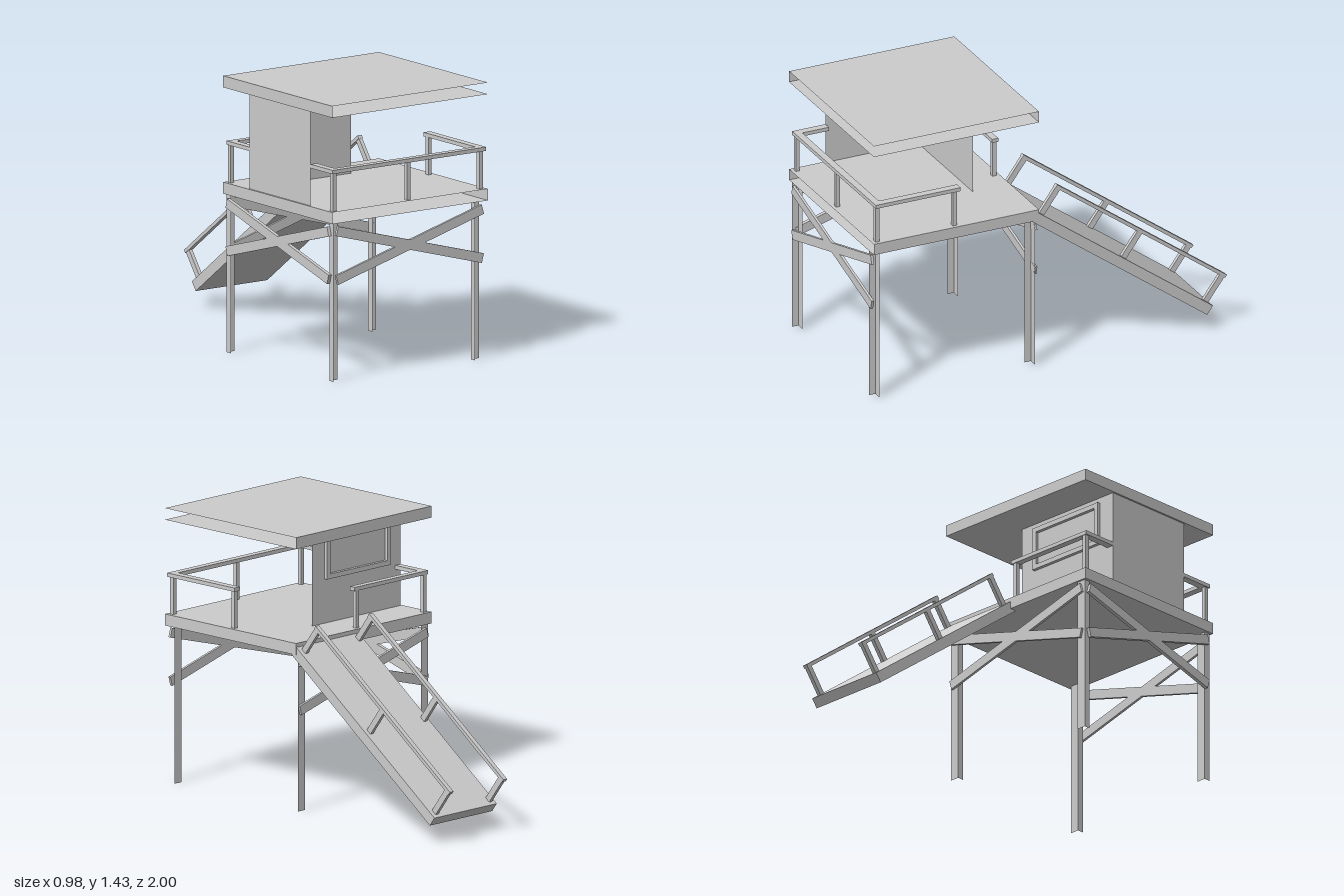
import * as THREE from 'three';

const SIDES = ['+x', '-x', '+y', '-y', '+z', '-z'];

export function createModel() {
  const model = new THREE.Group();
  model.name = 'lookoutTower';
  const grey = new THREE.MeshStandardMaterial({ color: 0xcccccc, side: THREE.DoubleSide });
  grey.name = 'paleGrey';

  // Box between two corners; the sides listed in open are left out
  function box(name, min, max, open = [], parent = model) {
    const size = max.map((v, i) => v - min[i]);
    const geo = new THREE.BoxGeometry(...size);
    const all = Array.from(geo.index.array);
    const kept = [];
    SIDES.forEach((s, i) => {
      if (!open.includes(s)) kept.push(...all.slice(i * 6, i * 6 + 6));
    });
    geo.setIndex(kept);
    geo.clearGroups();
    const mesh = new THREE.Mesh(geo, grey);
    mesh.name = name;
    mesh.position.set(...max.map((v, i) => (v + min[i]) / 2));
    parent.add(mesh);
    return mesh;
  }

  // Roof, deck and the two cabin walls
  box('roof', [-0.49, 1.37, 0.07], [0.49, 1.43, 1], ['+x', '+z']);
  box('deck', [-0.49, 0.82, 0.07], [0.49, 0.88, 1], ['+z']);
  box('cabinWalls', [-0.48, 0.88, 0.28], [0.16, 1.4, 0.8], ['+x', '+z', '+y', '-y']);

  // Window frame on the back wall
  const win = new THREE.Group();
  win.name = 'windowFrame';
  model.add(win);
  for (const y of [1.11, 1.315]) box('frameRail', [-0.39, y, 0.262], [0.07, y + 0.025, 0.28], [], win);
  for (const x of [-0.39, 0.045]) box('frameStile', [x, 1.135, 0.262], [x + 0.025, 1.315, 0.28], [], win);

  // Legs, open towards the front and left
  for (const x of [-0.475, 0.415]) {
    for (const z of [0.08, 0.955]) {
      box('leg', [x, 0, z], [x + 0.05, 0.82, z + 0.035], ['+x', '+z', '-y', '+y']);
    }
  }

  // Crossed braces on the front, back and right sides
  for (const s of [-1, 1]) {
    for (const z of [0.074, 0.993]) {
      const b = box('crossBrace', [-0.475, -0.025, -0.007], [0.475, 0.025, 0.007]);
      b.position.set(0, 0.652, z);
      b.rotation.z = s * 0.27;
    }
    const b = box('sideBrace', [-0.01, -0.025, -0.45], [0.01, 0.025, 0.45]);
    b.position.set(-0.483, 0.652, 0.533);
    b.rotation.x = s * 0.28;
  }

  // Deck railing: thin posts under flat top rails
  const railing = new THREE.Group();
  railing.name = 'deckRailing';
  model.add(railing);
  const posts = [[-0.462, 0.97], [0.004, 0.97], [0.46, 0.97], [0.46, 0.535], [-0.462, 0.1], [0.025, 0.1]];
  for (const [x, z] of posts) {
    box('railPost', [x - 0.011, 0.88, z - 0.011], [x + 0.011, 1.075, z + 0.011], [], railing);
  }
  const rails = [
    [-0.48, 0.95, 0.487, 0.988], [0.445, 0.51, 0.487, 0.95], [-0.48, 0.8, -0.44, 0.95],
    [-0.48, 0.085, 0.05, 0.12], [-0.48, 0.12, -0.44, 0.29],
  ];
  for (const [x0, z0, x1, z1] of rails) {
    box('topRail', [x0, 1.075, z0], [x1, 1.095, z1], [], railing);
  }

  // Sloping ramp at the back, with a handrail on each side
  const ramp = new THREE.Group();
  ramp.name = 'ramp';
  ramp.position.set(0, 0.815, 0.103);
  ramp.rotation.x = -0.637;
  model.add(ramp);
  box('rampBoard', [0.037, 0, -1.22], [0.487, 0.055, 0], [], ramp);
  for (const x of [0.053, 0.44]) {
    box('handrail', [x, 0.207, -1.205], [x + 0.026, 0.225, -0.018], [], ramp);
    for (const d of [0.035, 0.61, 1.185]) {
      box('handrailPost', [x + 0.003, 0.045, -d - 0.016], [x + 0.023, 0.207, -d + 0.016], [], ramp);
    }
  }
  return model;
}
